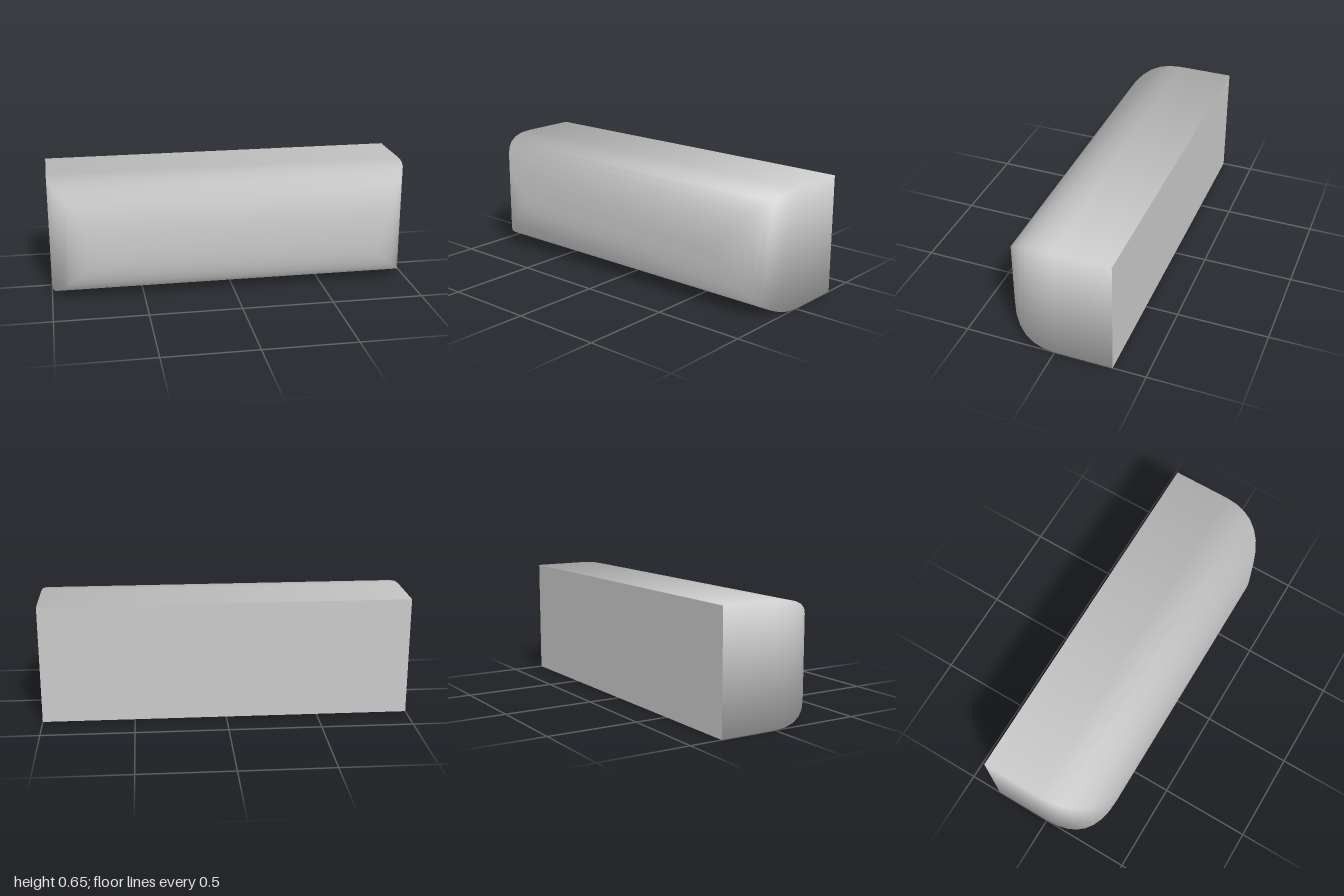
import * as THREE from 'three';

const HALF_W = 1, HALF_H = 0.325, DEPTH = 0.32, ROUND = 0.325, STEPS = 9;

// Rectangular rings lofted from back to front; both sizes shrink along a rounded curve
function shellGeometry() {
  const corners = [[1, 1], [-1, 1], [-1, -1], [1, -1]];
  const position = [], normal = [], index = [];
  const n = new THREE.Vector3();
  for (let ring = -1; ring <= STEPS; ring++) {
    const t = Math.max(ring, 0) / STEPS;
    const z = ring < 0 ? -DEPTH : DEPTH * (2 * t - t * t);
    const w = HALF_W - ROUND * t * t;
    const h = HALF_H - ROUND * t * t;
    for (const [sx, sy] of corners) {
      position.push(sx * w, HALF_H + sy * h, z);
      // Soft corners: average of the side and top/bottom directions
      n.set(sx * (1 - t), sy * (1 - t), 2 * t).normalize();
      normal.push(n.x, n.y, n.z);
    }
  }
  for (let ring = 0; ring <= STEPS; ring++) {
    for (let c = 0; c < 4; c++) {
      const a = ring * 4 + c, b = ring * 4 + (c + 1) % 4;
      index.push(a, b, a + 4, b, b + 4, a + 4);
    }
  }
  const geometry = new THREE.BufferGeometry();
  geometry.setAttribute('position', new THREE.Float32BufferAttribute(position, 3));
  geometry.setAttribute('normal', new THREE.Float32BufferAttribute(normal, 3));
  geometry.setIndex(index);
  return geometry;
}

export function createModel() {
  const group = new THREE.Group();
  const material = new THREE.MeshStandardMaterial({ color: 0xcccccc });

  // Rounded front with top, bottom and ends
  const shell = new THREE.Mesh(shellGeometry(), material);
  shell.name = 'roundedShell';
  group.add(shell);

  // Flat back
  const back = new THREE.Mesh(new THREE.PlaneGeometry(2 * HALF_W, 2 * HALF_H), material);
  back.name = 'backPanel';
  back.rotation.y = Math.PI;
  back.position.set(0, HALF_H, -DEPTH);
  group.add(back);

  return group;
}
